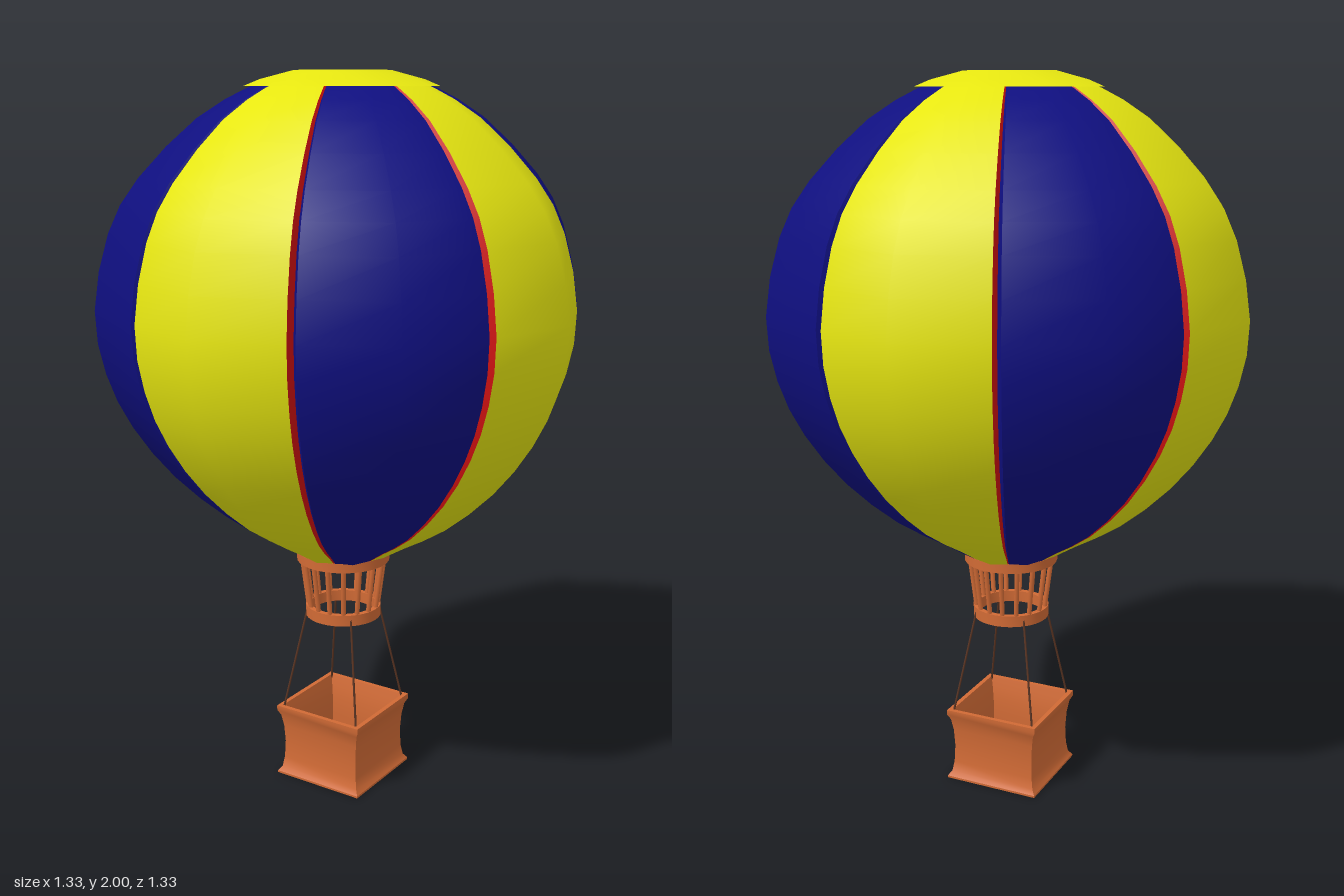
import * as THREE from 'three';
import { toCreasedNormals } from 'three/addons/utils/BufferGeometryUtils.js';

const mat = (name, color) => {
  const m = new THREE.MeshStandardMaterial({ color, side: THREE.DoubleSide });
  m.name = name;
  return m;
};

export function createModel() {
  const yellow = mat('yellow fabric', 0xe6e610);
  const blue = mat('navy fabric', 0x0f0f80);
  const red = mat('red trim', 0xcc1010);
  const grey = mat('grey vent', 0x707ca0);
  const wicker = mat('orange wicker', 0xd06a35);
  const ropeBrown = mat('brown rope', 0x5a3422);

  const model = new THREE.Group();
  model.name = 'hotAirBalloon';
  const add = (name, geometry, material, parent = model) => {
    const mesh = new THREE.Mesh(geometry, material);
    mesh.name = name;
    parent.add(mesh);
    return mesh;
  };
  const vecs = (pts) => pts.map(([x, y]) => new THREE.Vector2(x, y));
  const lathe = (pts, sides, phi = 0, crease = 0.5) =>
    toCreasedNormals(new THREE.LatheGeometry(vecs(pts), sides, phi), crease);

  // Envelope profile: radius and height, from mouth to crown
  const profile = new THREE.SplineCurve(vecs([
    [0.122, 0.675], [0.2, 0.722], [0.33, 0.8], [0.47, 0.925], [0.578, 1.07],
    [0.643, 1.22], [0.665, 1.39], [0.622, 1.59], [0.54, 1.73], [0.385, 1.88],
    [0.25, 1.957], [0.2, 1.972],
  ])).getPoints(22);

  // Strip whose columns are [x, z] factors of the profile radius
  const strip = (columns) => {
    const pos = [], index = [], n = columns.length;
    profile.forEach((p, i) => {
      columns.forEach(([x, z], j) => {
        pos.push(x * p.x, p.y, z * p.x);
        if (i && j) {
          const c = i * n + j, a = c - n;
          index.push(a - 1, a, c, a - 1, c, c - 1);
        }
      });
    });
    const g = new THREE.BufferGeometry();
    g.setAttribute('position', new THREE.Float32BufferAttribute(pos, 3));
    g.setIndex(index);
    g.computeVertexNormals();
    return g;
  };
  const EX = 0.346, EZ = 0.877, IZ = 0.8353;
  const panelGeo = strip([[-EX, EZ], [0, 1], [EX, EZ]]);
  const leftEdge = strip([[EX, EZ], [EX, IZ]]);
  const rightEdge = strip([[-EX, IZ], [-EX, EZ]]);

  // Eight alternating panels with inward-turned edges
  for (let i = 0; i < 8; i++) {
    const gore = new THREE.Group();
    gore.name = i % 2 ? 'bluePanel' : 'yellowPanel';
    gore.rotation.y = i * Math.PI / 4;
    add('panelSurface', panelGeo, i % 2 ? blue : yellow, gore);
    add('panelLeftEdge', leftEdge, i % 2 ? blue : red, gore);
    add('panelRightEdge', rightEdge, i % 2 ? blue : red, gore);
    model.add(gore);
  }

  // Crown cap and vent
  add('crownCap', lathe([[0.2, 1.968], [0.262, 1.96], [0.22, 1.977], [0.13, 2]], 8), yellow);
  const vent = add('crownVent', new THREE.CircleGeometry(0.13, 8), grey);
  vent.rotation.x = -Math.PI / 2;
  vent.position.y = 1.999;

  // Mouth frame: two hoops joined by slanted struts
  const hoop = (name, y0, y1, inner, outer) => add(name, lathe(
    [[inner, y0], [outer, y0], [outer, y1], [inner, y1], [inner, y0]], 32), wicker);
  hoop('upperHoop', 0.658, 0.685, 0.108, 0.132);
  hoop('lowerHoop', 0.49, 0.522, 0.092, 0.108);

  const rod = (name, a, b, r, material, sides) => {
    const dir = b.clone().sub(a);
    const mesh = add(name, new THREE.CylinderGeometry(r, r, dir.length(), sides), material);
    mesh.position.copy(a).add(b).multiplyScalar(0.5);
    mesh.quaternion.setFromUnitVectors(new THREE.Vector3(0, 1, 0), dir.normalize());
  };
  for (let i = 0; i < 16; i++) {
    const t = (i + 0.5) * Math.PI / 8, s = Math.sin(t), c = Math.cos(t);
    rod('strut', new THREE.Vector3(0.099 * s, 0.515, 0.099 * c),
      new THREE.Vector3(0.118 * s, 0.665, 0.118 * c), 0.007, wicker, 8);
  }

  // Ropes from the lower hoop to the basket corners
  for (const x of [-1, 1]) for (const z of [-1, 1]) {
    rod('rope', new THREE.Vector3(0.126 * x, 0.2, 0.126 * z),
      new THREE.Vector3(0.074 * x, 0.51, 0.074 * z), 0.003, ropeBrown, 6);
  }

  // Flared square basket with hollow inside
  const q = Math.SQRT2;
  add('basket', lathe([
    [0, 0], [0.139, 0], [0.139, 0.006], [0.129, 0.02], [0.124, 0.05], [0.122, 0.1],
    [0.125, 0.15], [0.131, 0.185], [0.139, 0.2], [0.139, 0.215], [0.126, 0.215],
    [0.119, 0.185], [0.113, 0.15], [0.11, 0.1], [0.112, 0.02], [0, 0.02],
  ].map(([x, y]) => [x * q, y]), 4, Math.PI / 4, 0.6), wicker);

  return model;
}
